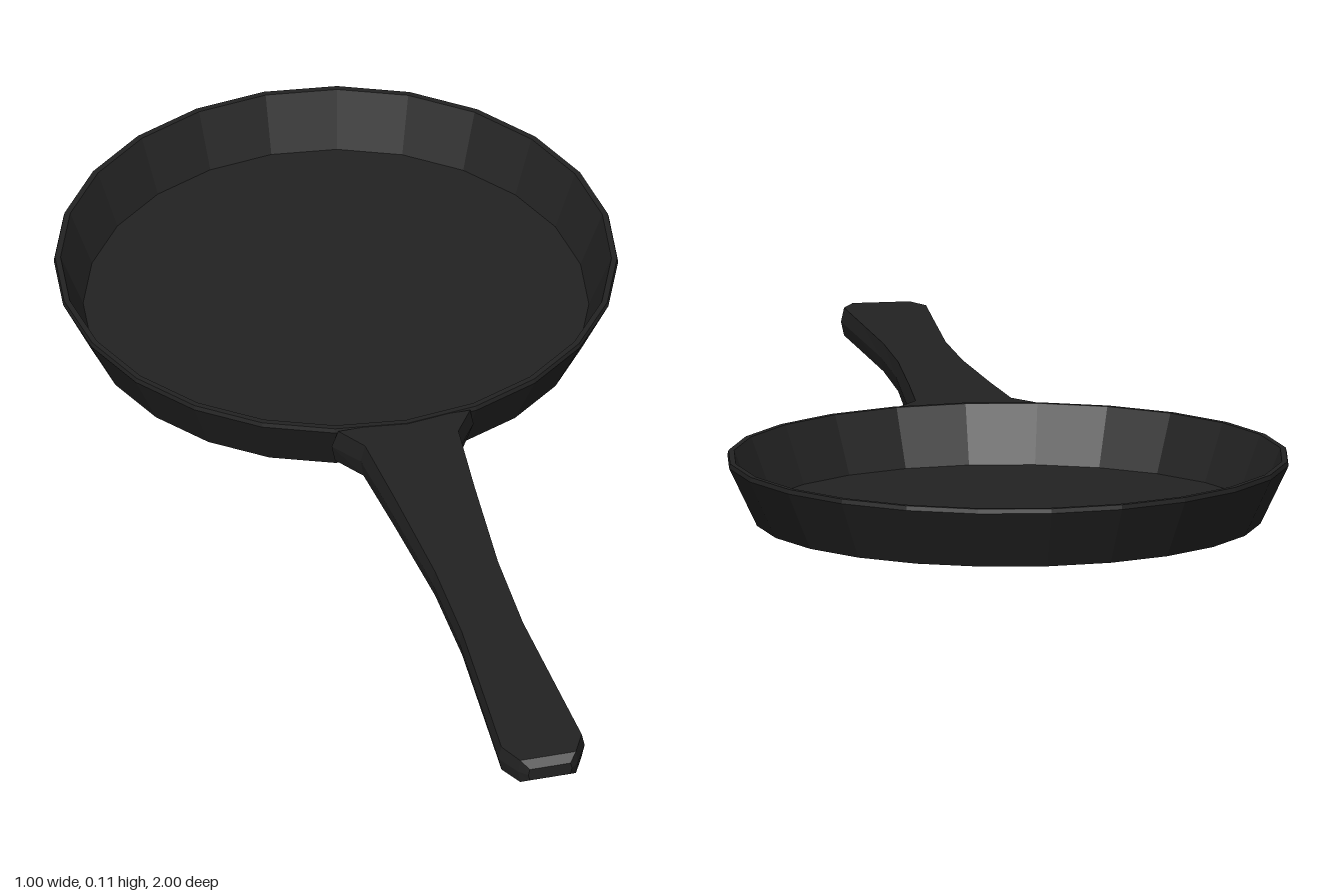
import * as THREE from 'three';

const castIron = new THREE.MeshStandardMaterial({ color: 0x222222 });
castIron.name = 'cast iron';

// Skins a row of equal-sized sections (counter-clockwise seen from +z) and caps both ends
function loft(sections) {
  const n = sections[0].length;
  const index = [];
  for (let i = 0; i < sections.length - 1; i++) {
    for (let j = 0; j < n; j++) {
      const k = (j + 1) % n;
      const a = i * n + j, b = i * n + k, c = b + n, d = a + n;
      index.push(a, b, c, a, c, d);
    }
  }
  const last = (sections.length - 1) * n;
  for (let j = 1; j < n - 1; j++) {
    index.push(0, j + 1, j, last, last + j, last + j + 1);
  }
  const geometry = new THREE.BufferGeometry();
  geometry.setAttribute('position', new THREE.Float32BufferAttribute(sections.flat(2), 3));
  geometry.setIndex(index);
  const faceted = geometry.toNonIndexed();
  faceted.computeVertexNormals();
  return faceted;
}

// Shallow pan: flared outer wall, thin rim, inner wall and floor
function createPan() {
  const rings = [[0, 0], [0.45, 0], [0.5, 0.105], [0.498, 0.113], [0.488, 0.113], [0.448, 0.01], [0, 0.01]];
  const profile = rings.map(([r, y]) => new THREE.Vector2(r, y));
  const lathe = new THREE.LatheGeometry(profile, 24).toNonIndexed();
  lathe.computeVertexNormals();
  const pan = new THREE.Mesh(lathe, castIron);
  pan.name = 'pan';
  pan.position.z = -0.5;
  return pan;
}

// Handle: wide root against the pan, narrow waist, swelling to a blunt tip
function createHandle() {
  // z of top, z of bottom, half width, bottom y, top y
  const rows = [
    [-0.012, -0.035, 0.13, 0.03, 0.112],
    [0.04, 0.03, 0.092, 0.037, 0.111],
    [0.2, 0.2, 0.078, 0.045, 0.109],
    [0.42, 0.42, 0.062, 0.054, 0.107],
    [0.6, 0.6, 0.06, 0.055, 0.105],
    [0.8, 0.8, 0.071, 0.055, 0.105],
    [0.94, 0.94, 0.079, 0.055, 0.105],
    [0.985, 0.985, 0.055, 0.056, 0.104],
    [1, 1, 0.04, 0.068, 0.092],
  ];
  const sections = rows.map(([zt, zb, w, yb, yt]) => {
    const zm = (zt + zb) / 2, ym = (yb + yt) / 2, e = w * 0.93;
    return [[w, ym, zm], [e, yt, zt], [-e, yt, zt], [-w, ym, zm], [-e, yb, zb], [e, yb, zb]];
  });
  const handle = new THREE.Mesh(loft(sections), castIron);
  handle.name = 'handle';
  handle.position.x = -0.004;
  return handle;
}

export function createModel() {
  const model = new THREE.Group();
  model.name = 'fryingPan';
  model.add(createPan(), createHandle());
  return model;
}
